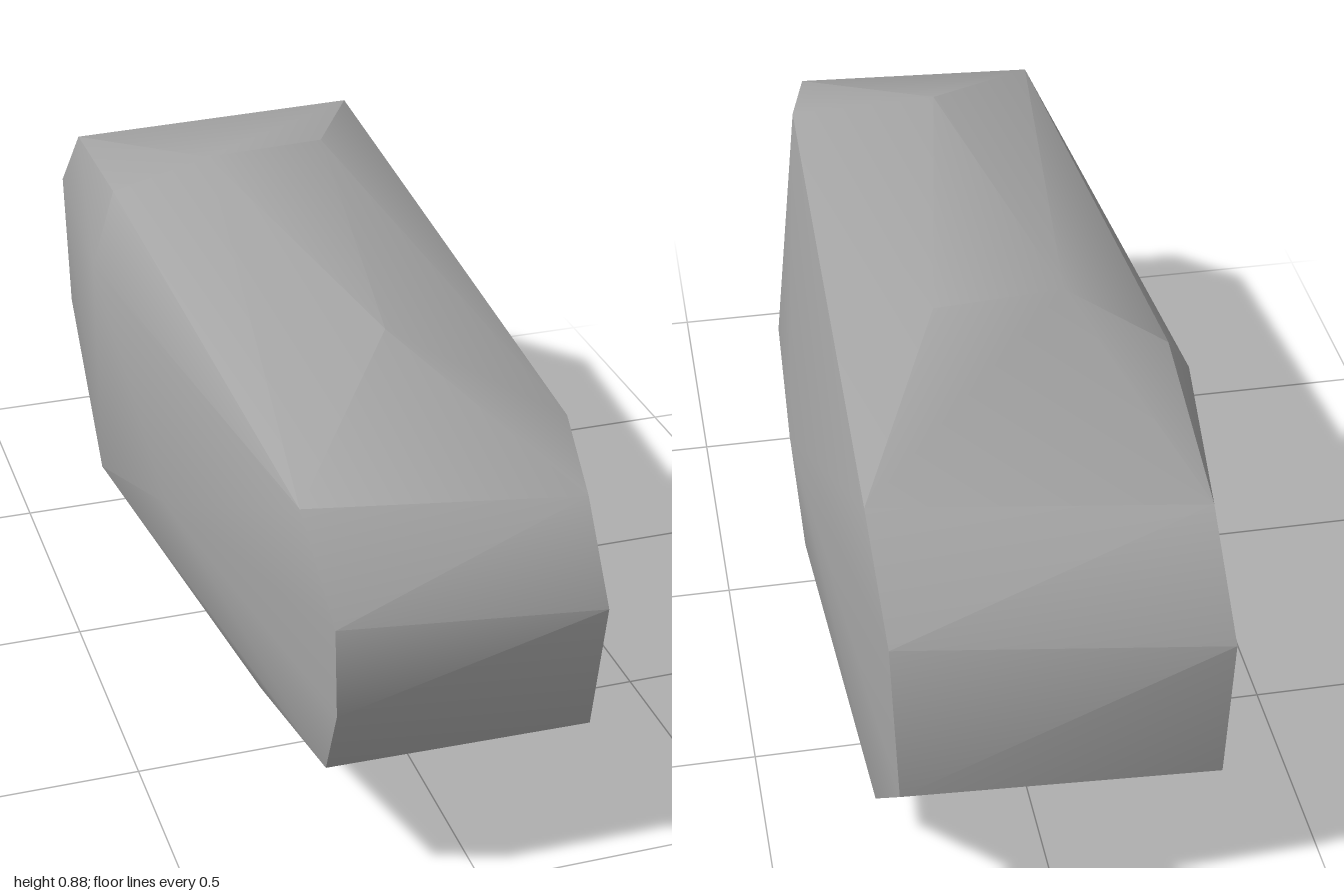
import * as THREE from 'three';
import { toCreasedNormals } from 'three/addons/utils/BufferGeometryUtils.js';
import { ConvexGeometry } from 'three/addons/geometries/ConvexGeometry.js';

export function createModel() {
  const group = new THREE.Group();
  group.name = 'boulder';
  const stone = new THREE.MeshStandardMaterial({ color: 0xa3a3a3 });
  stone.name = 'stone grey';

  // Corner points of the chipped stone, grouped by region
  const corners = [
    // front end
    [0.21, 0.53, 1.0], [0.21, 0.265, 0.95], [-0.265, 0.56, 0.97],
    [-0.265, 0.395, 0.98], [-0.265, 0.25, 0.92],
    [0.21, 0.69, 0.89], [-0.28, 0.71, 0.82],
    // back end
    [0.295, 0.63, -0.94], [0.29, 0.35, -1.0], [0.305, 0.785, -0.75], [0.3, 0.1, -0.75],
    [-0.295, 0.58, -0.975], [-0.29, 0.28, -0.965], [-0.29, 0.75, -0.8], [-0.26, 0.09, -0.76],
    // crown
    [-0.02, 0.85, 0.49], [-0.13, 0.88, -0.3], [0.115, 0.88, -0.32],
    [-0.31, 0.795, -0.38], [0.255, 0.73, 0.68],
    // left flank
    [0.375, 0.535, -0.2], [0.345, 0.46, 0.27], [0.355, 0.265, -0.2], [0.25, 0.135, 0.33],
    // right flank
    [-0.375, 0.675, -0.3], [-0.375, 0.43, 0.27], [-0.375, 0.205, -0.3],
    // underside
    [-0.125, 0, -0.27], [0.095, 0.01, -0.1], [0.09, 0.06, 0.37],
    [-0.24, 0.09, 0.43], [-0.26, 0.055, -0.25],
  ].map((p) => new THREE.Vector3(...p));

  // Broad planes blend softly, sharp ridges stay crisp
  const rock = new THREE.Mesh(toCreasedNormals(new ConvexGeometry(corners), 0.62), stone);
  rock.name = 'rock';
  group.add(rock);
  return group;
}
